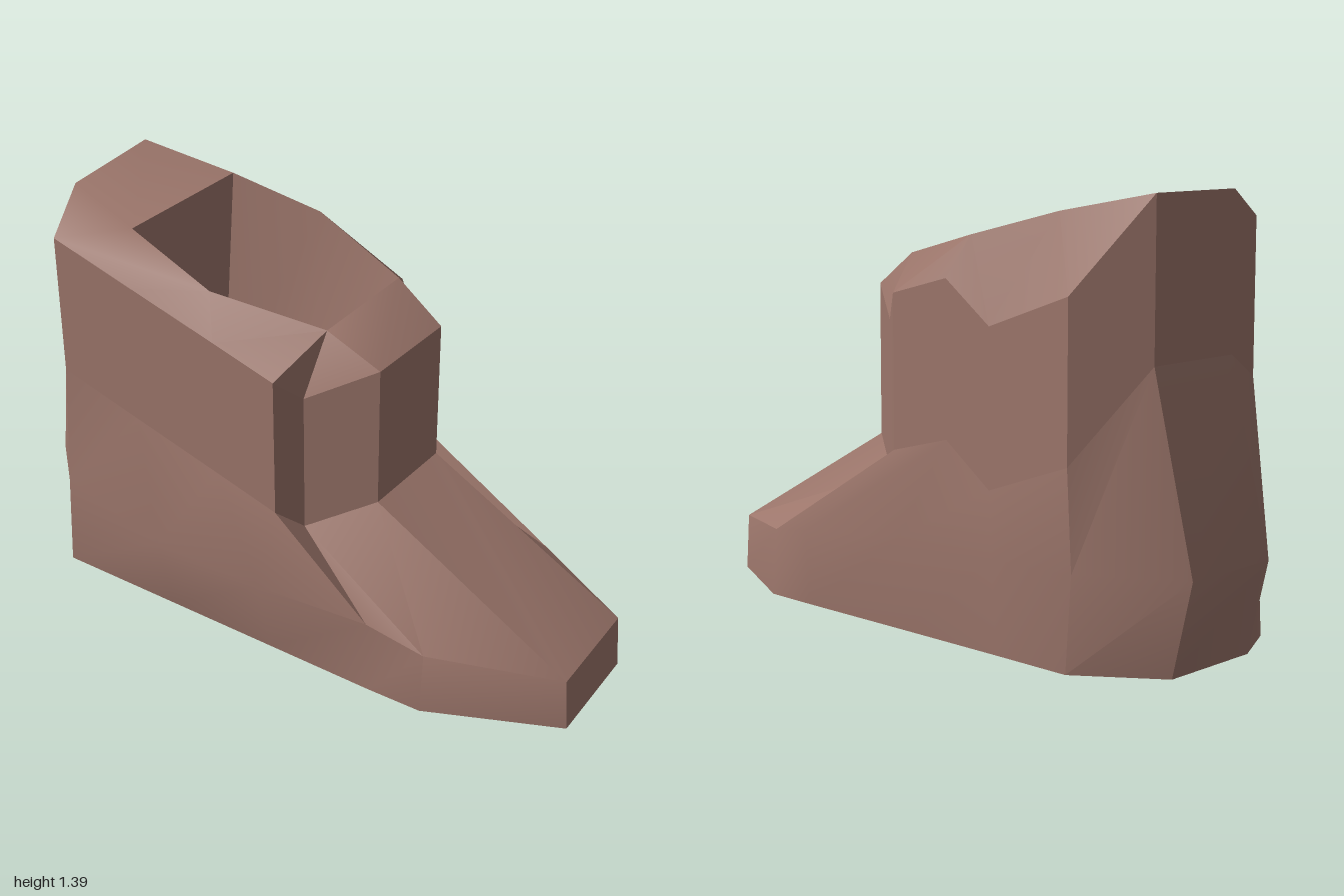
import * as THREE from 'three';
import { toCreasedNormals } from 'three/addons/utils/BufferGeometryUtils.js';

// Skin between consecutive rings (same point count); optional fan caps
function loft(rings, { capStart = false, capEnd = false } = {}) {
  const pos = [];
  const tri = (a, b, c) => {
    const u = new THREE.Vector3(...b).sub(new THREE.Vector3(...a));
    const v = new THREE.Vector3(...c).sub(new THREE.Vector3(...a));
    if (u.cross(v).length() > 1e-6) pos.push(...a, ...b, ...c);
  };
  const n = rings[0].length;
  const centre = (ring) => [0, 1, 2].map((k) => ring.reduce((s, p) => s + p[k], 0) / n);
  const last = rings[rings.length - 1];
  for (let i = 0; i < n; i++) {
    const j = (i + 1) % n;
    for (let r = 0; r + 1 < rings.length; r++) {
      const lo = rings[r], hi = rings[r + 1];
      tri(lo[i], hi[i], lo[j]);
      tri(lo[j], hi[i], hi[j]);
    }
    if (capStart) tri(rings[0][i], rings[0][j], centre(rings[0]));
    if (capEnd) tri(last[i], centre(last), last[j]);
  }
  const g = new THREE.BufferGeometry();
  g.setAttribute('position', new THREE.Float32BufferAttribute(pos, 3));
  return toCreasedNormals(g, 0.6);
}

export function createModel() {
  const group = new THREE.Group();
  const leather = new THREE.MeshStandardMaterial({ color: 0x9c766b });
  leather.name = 'brown leather';
  const add = (name, geometry) => {
    const mesh = new THREE.Mesh(geometry, leather);
    mesh.name = name;
    group.add(mesh);
  };

  // Rings run from the heel along -z to the toe and back along +z
  const sole = [
    [-0.93, 0, -0.21], [-0.68, 0, -0.39], [-0.4, 0, -0.388], [0, 0, -0.388],
    [0.45, 0, -0.39], [0.64, 0, -0.388], [1, 0, -0.21], [1, 0, 0.15],
    [0.57, 0, 0.335], [0.38, 0, 0.34], [0, 0, 0.34], [-0.4, 0, 0.34],
    [-0.84, 0, 0.34], [-0.93, 0, 0.15],
  ];
  const bulge = [
    [-1, 0.3, -0.21], [-0.7, 0.3, -0.39], [-0.4, 0.3, -0.41], [0, 0.3, -0.41],
    [0.45, 0.25, -0.405], [0.64, 0.22, -0.37], [0.985, 0.19, -0.21], [0.985, 0.19, 0.15],
    [0.57, 0.22, 0.32], [0.37, 0.27, 0.34], [0, 0.3, 0.405], [-0.4, 0.3, 0.405],
    [-0.82, 0.35, 0.34], [-1, 0.3, 0.15],
  ];
  const shaftTop = [
    [-0.85, 1.39, -0.21], [-0.68, 1.1, -0.388], [-0.37, 0.99, -0.388], [-0.19, 1.12, -0.388],
    [0.04, 1.06, -0.388], [0.16, 0.96, -0.29], [0.29, 1.06, -0.21], [0.29, 1.09, 0.15],
    [0.08, 0.97, 0.25], [0.03, 1.06, 0.34], [-0.19, 1.125, 0.34], [-0.5, 1.215, 0.34],
    [-0.79, 1.3, 0.34], [-0.85, 1.39, 0.15],
  ];
  const shaftBottom = shaftTop.map(([x, y, z]) => [x, y - 0.49, z]);

  // Six-sided opening and its smaller floor
  const rim = [
    [-0.54, 1.33, -0.27], [-0.24, 1.25, -0.33], [0.12, 1.17, -0.23],
    [0.1, 1.17, 0.15], [-0.25, 1.25, 0.265], [-0.59, 1.33, 0.2],
  ];
  const floor = [
    [-0.54, 0.5, -0.18], [-0.24, 0.5, -0.26], [0.02, 0.5, -0.17],
    [0.07, 0.5, 0.1], [-0.25, 0.5, 0.2], [-0.57, 0.5, 0.1],
  ];
  const rimForShaft = [0, 0, 1, 1, 2, 2, 2, 3, 3, 3, 4, 4, 5, 5].map((i) => rim[i]);

  add('foot', loft([sole, bulge, shaftBottom], { capStart: true }));
  add('shaft', loft([shaftBottom, shaftTop]));
  add('collar', loft([shaftTop, rimForShaft]));
  add('lining', loft([rim, floor], { capEnd: true }));
  return group;
}
